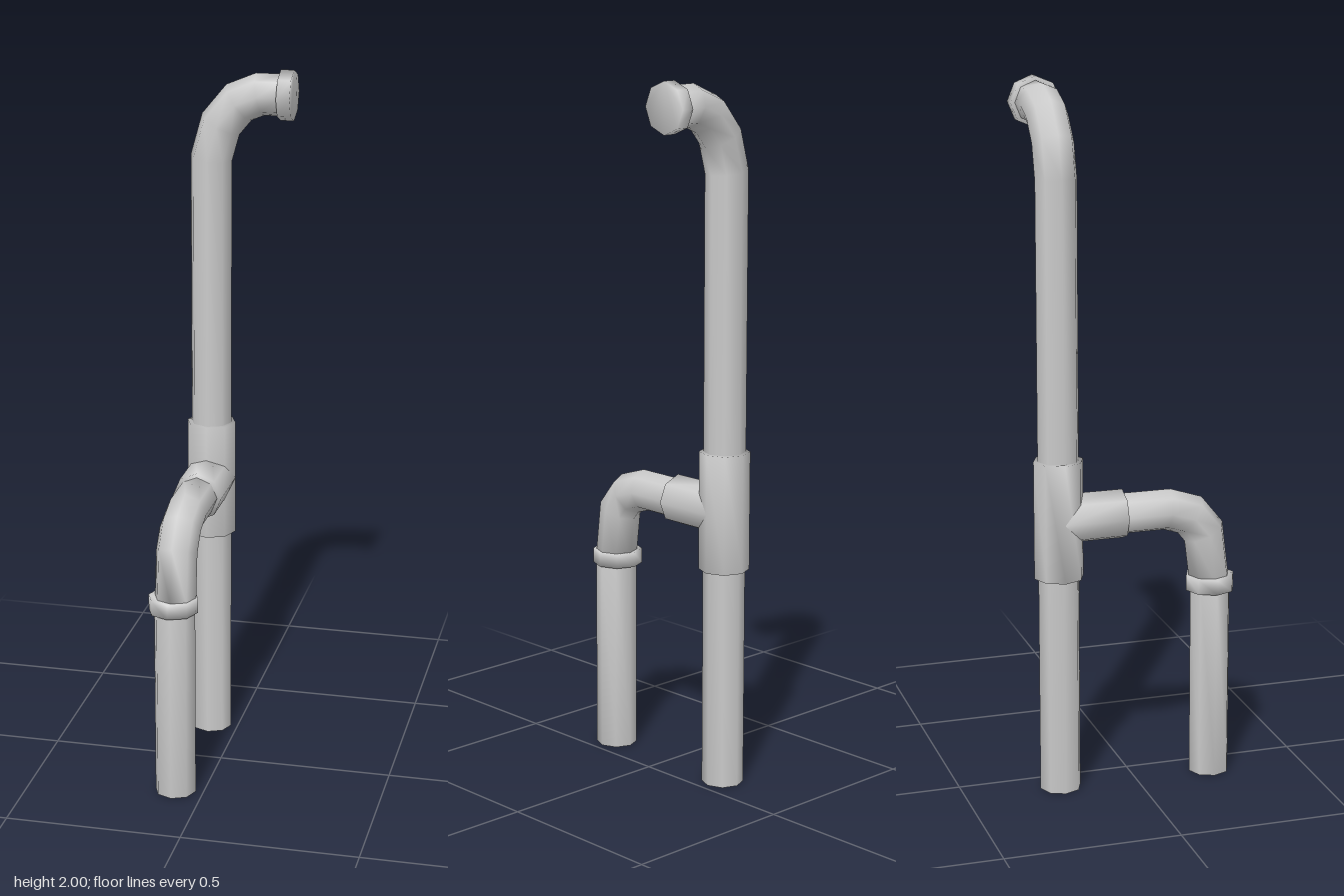
import * as THREE from 'three';

const SIDES = 8;
const PIPE_R = 0.059;
const SOCKET_R = 0.071;
const material = new THREE.MeshStandardMaterial({ color: 0xcccccc });

// Sweeps an octagon along a path in the xy plane, with mitred joints,
// closed ends and smooth shading carried over the rims.
function pipeGeometry(path, radius) {
  const pts = path.map(([x, y]) => new THREE.Vector2(x, y));
  const last = pts.length - 1;
  const dir = (i) => pts[i + 1].clone().sub(pts[i]).normalize();
  const position = [];
  const index = [];
  // Rings
  pts.forEach((p, i) => {
    const before = dir(Math.max(i - 1, 0));
    const after = dir(Math.min(i, last - 1));
    const tangent = before.clone().add(after).normalize();
    const stretch = radius / tangent.dot(before);
    for (let j = 0; j < SIDES; j++) {
      const a = (j / SIDES) * Math.PI * 2;
      const n = Math.cos(a) * stretch;
      position.push(p.x - tangent.y * n, p.y + tangent.x * n, Math.sin(a) * radius);
    }
  });
  // Walls
  for (let i = 0; i < last; i++) {
    for (let j = 0; j < SIDES; j++) {
      const k = (j + 1) % SIDES;
      const a = i * SIDES + j, b = i * SIDES + k;
      const c = a + SIDES, d = b + SIDES;
      index.push(a, b, c, b, d, c);
    }
  }
  // End discs
  const end = last * SIDES;
  for (let j = 1; j < SIDES - 1; j++) {
    index.push(0, j + 1, j, end, end + j, end + j + 1);
  }
  const geometry = new THREE.BufferGeometry();
  geometry.setAttribute('position', new THREE.Float32BufferAttribute(position, 3));
  geometry.setIndex(index);
  geometry.computeVertexNormals();
  return geometry;
}

export function createModel() {
  const model = new THREE.Group();
  model.name = 'pipework';
  const add = (name, path, radius, x, z, parent = model) => {
    const mesh = new THREE.Mesh(pipeGeometry(path, radius), material);
    mesh.name = name;
    mesh.position.set(x, 0, z);
    parent.add(mesh);
    return mesh;
  };
  const X = -0.079;
  const BACK = -0.222;
  const FRONT = 0.224;
  const BRANCH_Y = 0.798;

  // Tall riser with the elbow turning to the left at the top
  add('riserPipe', [
    [X, 0], [X, 1.745], [-0.052, 1.842], [0.0, 1.905], [0.06, 1.93], [0.125, 1.93],
  ], PIPE_R, 0, BACK);
  add('outletRim', [[0.118, 1.93], [0.156, 1.93]], SOCKET_R, 0, BACK);

  // Tee fitting: upright sleeve and forward socket
  const tee = new THREE.Group();
  tee.name = 'teeFitting';
  model.add(tee);
  add('teeSleeve', [[0, 0.63], [0, 0.968]], SOCKET_R, X, BACK, tee);
  add('teeSocket', [[BACK, BRANCH_Y], [-0.037, BRANCH_Y]], SOCKET_R, X, 0, tee)
    .rotation.y = -Math.PI / 2;

  // Branch elbow turning down at the front
  add('branchElbow', [
    [-0.06, BRANCH_Y], [0.095, BRANCH_Y], [0.162, 0.776], [0.204, 0.724], [0.221, 0.585],
  ], PIPE_R, X, 0).rotation.y = -Math.PI / 2;

  // Front leg and its rim
  add('branchRim', [[0, 0.554], [0, 0.597]], SOCKET_R, -0.085, 0.222);
  add('branchLeg', [[0, 0], [0, 0.57]], PIPE_R, -0.081, FRONT);

  return model;
}
